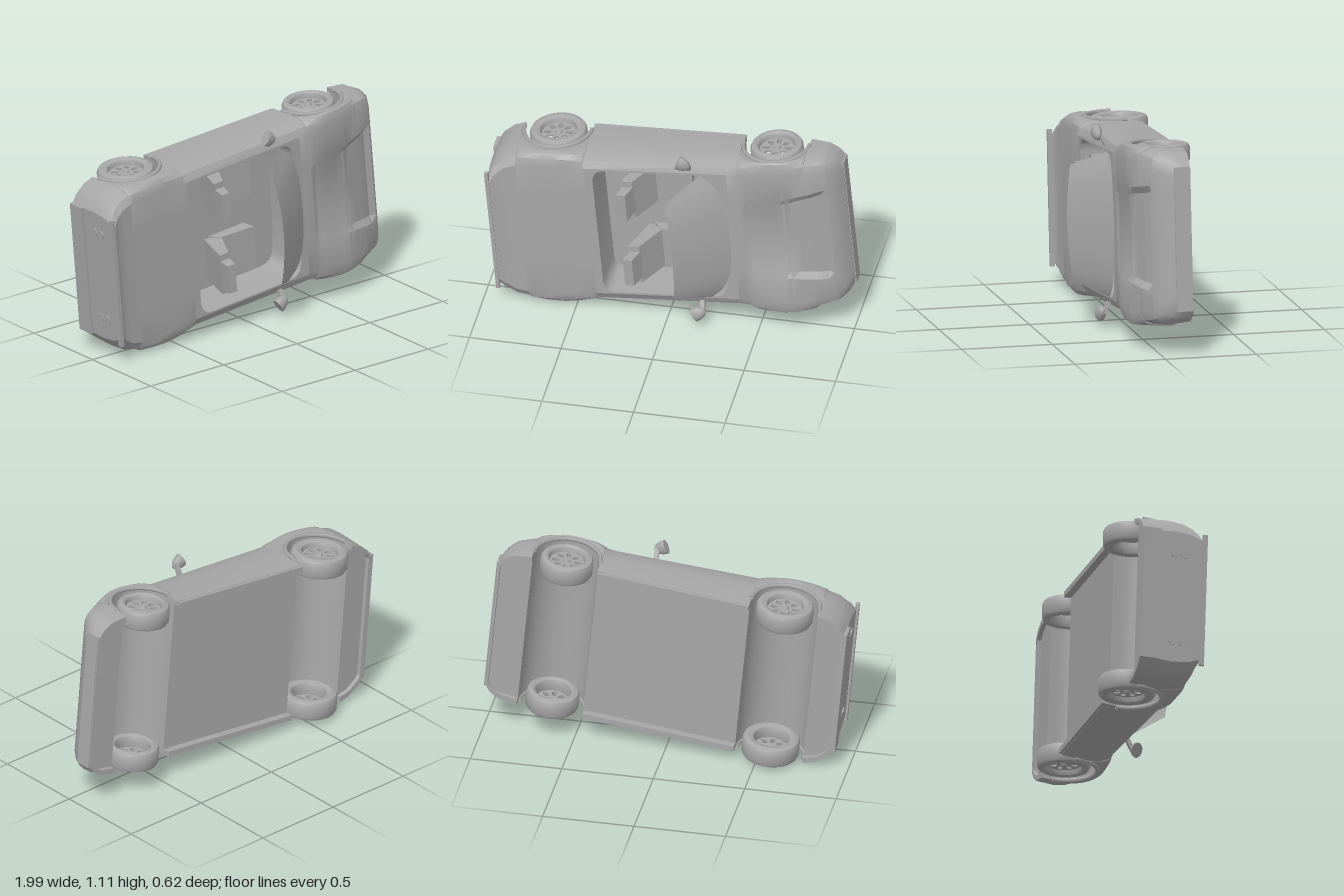
import * as THREE from 'three';
import { toCreasedNormals } from 'three/addons/utils/BufferGeometryUtils.js';

// An open two-seat car lying with its roof side toward +z and its nose toward +x.
const grey = new THREE.MeshStandardMaterial({ color: 0xa6a6a6, side: THREE.DoubleSide });
grey.name = 'body grey';

const WHEELS = [
  { name: 'rear', x: -0.61, z: -0.155, r: 0.155, arch: 0.185 },
  { name: 'front', x: 0.6, z: -0.097, r: 0.143, arch: 0.18 },
];
const WIDTH = [[-0.95, 0.37], [-0.92, 0.415], [-0.86, 0.46], [-0.78, 0.482], [-0.6, 0.485], [-0.42, 0.472],
  [0.36, 0.472], [0.6, 0.485], [0.78, 0.48], [0.88, 0.465], [0.93, 0.435], [0.963, 0.39]];
const TOP = [[-0.95, 0.155], [-0.9, 0.13], [-0.8, 0.12], [-0.42, 0.118], [0.36, 0.118], [0.5, 0.128],
  [0.66, 0.12], [0.8, 0.085], [0.89, 0.045], [0.94, -0.015], [0.963, -0.06]];
const BOTTOM = [[-0.95, -0.2], [-0.43, -0.215], [0.42, -0.17], [0.963, -0.155]];
const VENT = [[0.42, 0], [0.45, 0.012], [0.85, 0.026], [0.885, 0]];
const VENT_EDGE = [[0.42, 0.22], [0.87, 0.285]];

function lookup(table, u) {
  if (u <= table[0][0]) return table[0][1];
  for (let i = 1; i < table.length; i++) {
    const [a, p] = table[i - 1], [b, q] = table[i];
    if (u <= b) return p + (q - p) * (u - a) / (b - a);
  }
  return table[table.length - 1][1];
}

// Surface through rows of points; keep(i, j) can leave cells out.
function skin(rows, keep = () => true, crease = 0.5) {
  const n = rows[0].length, index = [];
  for (let i = 0; i < rows.length - 1; i++) {
    for (let j = 0; j < n - 1; j++) {
      if (!keep(i, j)) continue;
      const a = i * n + j, c = a + n;
      index.push(a, a + 1, c, a + 1, c + 1, c);
    }
  }
  const g = new THREE.BufferGeometry();
  g.setAttribute('position', new THREE.Float32BufferAttribute(rows.flat(2), 3));
  g.setIndex(index);
  return toCreasedNormals(g, crease);
}

function add(parent, name, geometry, x = 0, y = 0, z = 0) {
  const m = new THREE.Mesh(geometry, grey);
  m.name = name;
  m.position.set(x, y, z);
  parent.add(m);
  return m;
}

// One closed cross-section of the body at length position u.
function section(u) {
  const hw = lookup(WIDTH, u), top = lookup(TOP, u);
  let bot = lookup(BOTTOM, u), lip = 0.025;
  for (const w of WHEELS) {
    const d = Math.abs(u - w.x);
    if (d <= w.arch) {
      bot = Math.max(bot, w.z + Math.sqrt(w.arch ** 2 - d ** 2));
      lip = 0;
    }
  }
  const at = f => bot + f * (top - bot);
  const edge = lookup(VENT_EDGE, u), deep = top - lookup(VENT, u);
  const half = [[hw - 0.04, bot + lip], [hw - 0.04, bot], [hw - 0.01, bot], [hw, at(0.5)], [hw - 0.008, at(0.75)],
    [hw - 0.03, at(0.93)], [hw - 0.07, top], [edge, top], [edge - 0.035, deep]];
  const left = half.map(([v, w]) => [u, v, w]);
  const right = half.map(([v, w]) => [u, -v, w]).reverse();
  return [...left, [u, 0, deep], ...right, left[0]];
}

function buildBody(car) {
  const us = [...WIDTH, ...TOP, ...VENT].map(p => p[0]);
  for (const w of WHEELS) {
    us.push(w.x - w.arch - 0.001, w.x + w.arch + 0.001);
    for (let k = 0; k <= 16; k++) us.push(w.x - w.arch * 0.9999 * Math.cos(k * Math.PI / 16));
  }
  const st = [...new Set(us)].sort((a, b) => a - b);
  const rows = st.map(section);
  add(car, 'bodyShell', skin(rows, (i, j) => {
    const mid = (st[i] + st[i + 1]) / 2;
    return !(mid > -0.42 && mid < 0.36 && j >= 6 && j < 12);
  }));
  // nose and tail closures
  const cap = (s, flip) => s.slice(0, 10).map((p, j) => flip ? [s[18 - j], p] : [p, s[18 - j]]);
  add(car, 'tailPanel', skin(cap(rows[0], false)));
  add(car, 'nosePanel', skin(cap(rows[rows.length - 1], true)));

  // deck frame around the cockpit, and the tub below it
  const opening = new THREE.Path();
  opening.moveTo(-0.32, -0.392);
  opening.lineTo(0.22, -0.392);
  opening.quadraticCurveTo(0.3, -0.39, 0.31, -0.32);
  opening.quadraticCurveTo(0.35, 0, 0.31, 0.32);
  opening.quadraticCurveTo(0.3, 0.39, 0.22, 0.392);
  opening.lineTo(-0.32, 0.392);
  opening.quadraticCurveTo(-0.375, 0.39, -0.38, 0.32);
  opening.lineTo(-0.38, -0.32);
  opening.quadraticCurveTo(-0.375, -0.39, -0.32, -0.392);
  const deck = new THREE.Shape([[-0.42, -0.402], [0.36, -0.402], [0.36, 0.402], [-0.42, 0.402]]
    .map(p => new THREE.Vector2(...p)));
  deck.holes.push(opening);
  add(car, 'cockpitFrame', new THREE.ShapeGeometry(deck, 6), 0, 0, 0.118);
  const rim = opening.getPoints(6);
  const ring = (s, z) => rim.map(p => [p.x * s, p.y * s, z]);
  add(car, 'cockpitWalls', skin([ring(1, 0.118), ring(0.97, -0.12)]));
  add(car, 'cockpitFloor', new THREE.ShapeGeometry(new THREE.Shape(ring(0.97, 0)
    .map(p => new THREE.Vector2(p[0], p[1])))), 0, 0, -0.12);

  // rear bumper and paired round tail lamps
  add(car, 'rearBumper', new THREE.BoxGeometry(0.03, 0.74, 0.1), -0.95, 0, -0.15);
  add(car, 'tailLip', new THREE.BoxGeometry(0.02, 0.74, 0.025), -0.953, 0, 0.145);
  for (const s of [-1, 1]) {
    for (const z of [-0.02, 0.035]) {
      add(car, 'tailLamp', new THREE.CylinderGeometry(0.025, 0.025, 0.008, 20), -0.952, s * 0.25, z).rotation.z = Math.PI / 2;
    }
  }
  // front bumper band
  add(car, 'frontBumper', new THREE.BoxGeometry(0.02, 0.78, 0.085), 0.958, 0, -0.108);
}

function buildWindshield(car) {
  const top = [], base = [];
  for (let k = 0; k <= 16; k++) {
    const t = 1 - k / 8;
    top.push([0.065 - 0.02 * t * t, 0.31 * t, 0.308 - 0.028 * t * t]);
    base.push([0.345 - 0.05 * t * t - 0.08 * t ** 6, 0.392 * t, 0.12]);
  }
  add(car, 'windshield', skin([top, base]));
}

// Seat: side outline extruded across its width.
function slab(points, width) {
  const shape = new THREE.Shape(points.map(p => new THREE.Vector2(...p)));
  const g = new THREE.ExtrudeGeometry(shape, { depth: width, bevelEnabled: false });
  g.translate(0, 0, -width / 2);
  return g.rotateX(Math.PI / 2);
}

function buildSeat(side) {
  const seat = new THREE.Group();
  seat.name = side > 0 ? 'leftSeat' : 'rightSeat';
  seat.position.y = side * 0.21;
  add(seat, 'backrest', slab([[-0.15, -0.12], [-0.07, -0.07], [-0.165, 0.11], [-0.225, 0.11]], 0.23));
  add(seat, 'headrest', slab([[-0.22, 0.1], [-0.16, 0.1], [-0.19, 0.195], [-0.24, 0.19]], 0.16));
  add(seat, 'cushion', slab([[-0.12, -0.12], [0.12, -0.12], [0.13, -0.04], [-0.08, -0.06]], 0.24));
  return seat;
}

function buildMirror(side) {
  const mirror = new THREE.Group();
  mirror.name = side > 0 ? 'leftMirror' : 'rightMirror';
  mirror.position.set(0.13, side * 0.495, 0.15);
  const shell = new THREE.SphereGeometry(1, 10, 8, 0, Math.PI * 2, 0, Math.PI / 2);
  shell.rotateZ(-Math.PI / 2).scale(0.07, 0.042, 0.03);
  add(mirror, 'mirrorShell', shell, -0.02).rotation.z = -side * 0.5;
  const glass = new THREE.CircleGeometry(1, 16).rotateY(-Math.PI / 2).scale(1, 0.042, 0.03);
  add(mirror, 'mirrorGlass', glass, -0.02).rotation.z = -side * 0.5;
  add(mirror, 'mirrorStalk', new THREE.BoxGeometry(0.025, 0.07, 0.02), 0.025, -side * 0.04, -0.025).rotation.x = side * 0.5;
  return mirror;
}

function buildWheel(spec, side) {
  const wheel = new THREE.Group();
  wheel.name = spec.name + (side > 0 ? 'LeftWheel' : 'RightWheel');
  wheel.position.set(spec.x, side * 0.422, spec.z);
  if (side < 0) wheel.rotation.x = Math.PI;
  const r = spec.r;
  const profile = [[0.098, -0.05], [r - 0.03, -0.058], [r - 0.008, -0.05], [r, -0.035], [r, 0.035], [r - 0.008, 0.05],
    [r - 0.03, 0.058], [0.1, 0.05], [0.094, 0.035], [0.09, -0.03], [0.098, -0.05]].map(p => new THREE.Vector2(...p));
  add(wheel, 'tyre', toCreasedNormals(new THREE.LatheGeometry(profile, 28), 0.6));
  // rim disc with a ring of oval holes
  const disc = new THREE.Shape().absarc(0, 0, 0.093, 0, Math.PI * 2);
  for (let k = 0; k < 8; k++) {
    const a = k * Math.PI / 4;
    disc.holes.push(new THREE.Path().absellipse(0.06 * Math.cos(a), 0.06 * Math.sin(a), 0.021, 0.014, 0, Math.PI * 2, true, a));
  }
  const rim = new THREE.ExtrudeGeometry(disc, { depth: 0.012, bevelEnabled: false, curveSegments: 10 });
  add(wheel, 'rim', rim.rotateX(-Math.PI / 2), 0, 0.012);
  add(wheel, 'hub', new THREE.CylinderGeometry(0.016, 0.022, 0.014, 12), 0, 0.03);
  return wheel;
}

export function createModel() {
  const model = new THREE.Group();
  model.name = 'openCar';
  const car = new THREE.Group();
  car.name = 'car';
  car.position.y = 0.5625;
  car.rotation.z = 0.091;
  model.add(car);
  buildBody(car);
  buildWindshield(car);
  for (const side of [-1, 1]) {
    car.add(buildSeat(side), buildMirror(side));
    for (const spec of WHEELS) {
      car.add(buildWheel(spec, side));
      // raised lip around each wheel opening
      const flare = new THREE.TorusGeometry(spec.arch, 0.012, 6, 24, Math.PI).rotateX(Math.PI / 2).rotateY(0);
      flare.scale(1, 1, -1);
      flare.index.array.reverse();
      const lip = add(car, 'wheelArchLip', flare, spec.x, side * 0.474, spec.z);
      lip.scale.z = flare.boundingBox === null && new THREE.Box3().setFromBufferAttribute(flare.attributes.position).max.z < 0.1 ? -1 : 1;
    }
    // sill flange along the floor edge
    const sill = add(car, 'sill', new THREE.BoxGeometry(0.84, 0.03, 0.03), -0.005, side * 0.445, -0.195);
    sill.rotation.y = -0.053;
  }
  return model;
}
